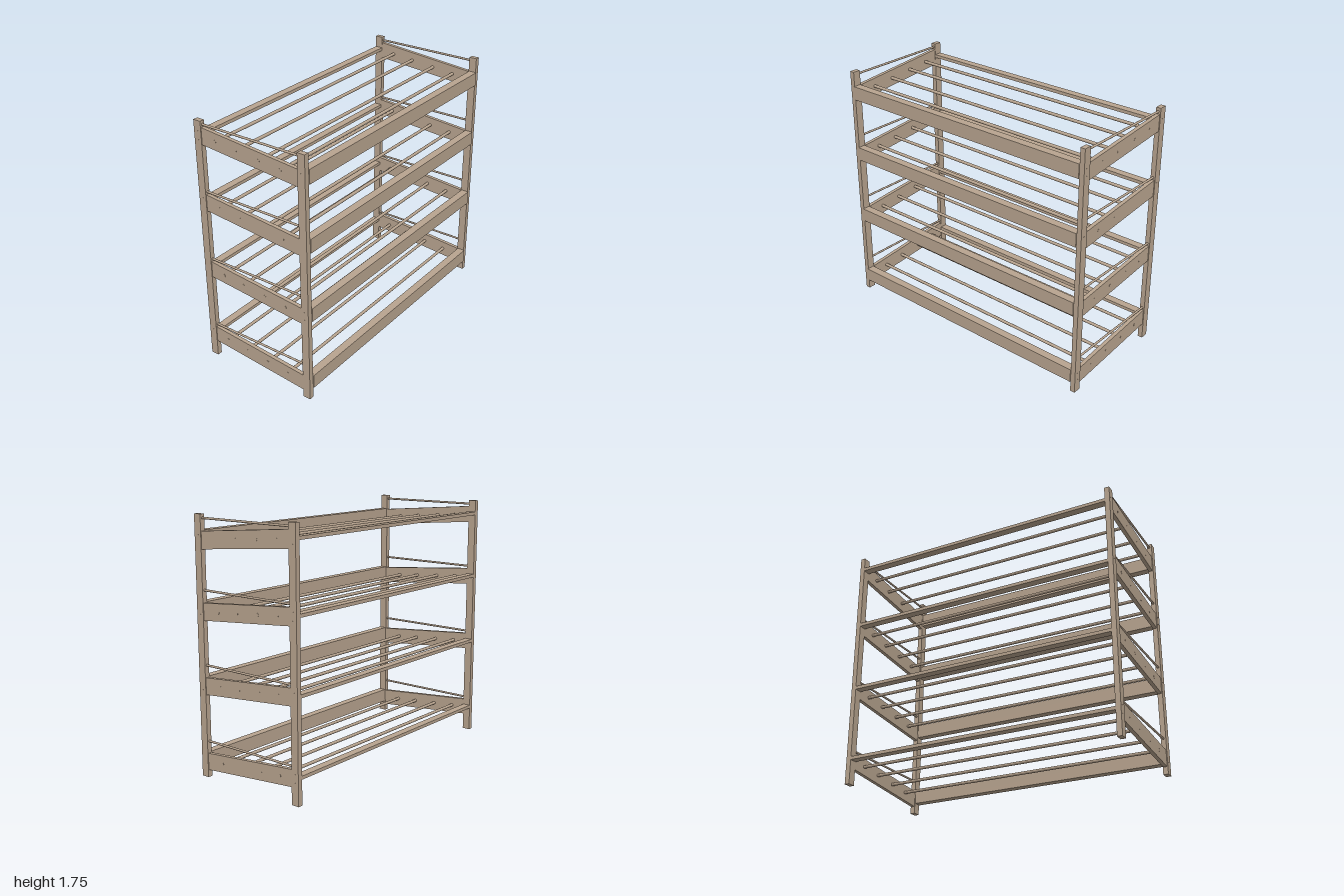
import * as THREE from 'three';

export function createModel() {
  const root = new THREE.Group();
  root.name = 'slattedShelfRack';
  const wood = new THREE.MeshStandardMaterial({ color: 0xb8a48f });

  function add(parent, name, geometry, x = 0, y = 0, z = 0) {
    const m = new THREE.Mesh(geometry, wood);
    m.name = name;
    m.position.set(x, y, z);
    parent.add(m);
    return m;
  }
  // box given by its extents
  function box(parent, name, x0, x1, y0, y1, z0, z1) {
    return add(parent, name, new THREE.BoxGeometry(x1 - x0, y1 - y0, z1 - z0),
      (x0 + x1) / 2, (y0 + y1) / 2, (z0 + z1) / 2);
  }
  // round bar along x or z
  function rod(parent, name, axis, radius, length, x, y, z) {
    const g = new THREE.CylinderGeometry(radius, radius, length, 16);
    if (axis === 'x') g.rotateZ(Math.PI / 2);
    else g.rotateX(Math.PI / 2);
    return add(parent, name, g, x, y, z);
  }

  const xL = -0.381, xR = 0.371; // inner faces of the posts
  const zIn = 0.965;

  // four corner posts
  for (const s of [-1, 1]) {
    const z0 = s > 0 ? zIn : -1, z1 = s > 0 ? 1 : -zIn;
    box(root, 'leftPost', -0.437, xL, 0, 1.755, z0, z1);
    box(root, 'rightPost', xR, 0.427, 0, 1.755, z0, z1);
  }

  // sloping end board, relative to the level height
  const slope = new THREE.Shape([
    new THREE.Vector2(xL, 0.041), new THREE.Vector2(xR, -0.024),
    new THREE.Vector2(xR, 0.092), new THREE.Vector2(xL, 0.157),
  ]);
  const endBoard = new THREE.ExtrudeGeometry(slope, { depth: 0.027, bevelEnabled: false });
  const midHeight = (x) => 0.099 - 0.065 * (x - xL) / (xR - xL);

  for (const y of [0.075, 0.595, 1.092, 1.555]) {
    const shelf = new THREE.Group();
    shelf.name = 'shelf';
    shelf.position.y = y;
    root.add(shelf);

    // tall rail on the low side, flat rail on the high side
    box(shelf, 'tallRail', 0.376, 0.433, 0, 0.097, -zIn, zIn);
    box(shelf, 'flatRail', -0.437, xL, 0.095, 0.118, -zIn, zIn);

    // end boards and the thin tie bars above them
    add(shelf, 'frontEndBoard', endBoard, 0, 0, 0.968);
    add(shelf, 'backEndBoard', endBoard, 0, 0, -0.995);
    for (const s of [-1, 1])
      rod(shelf, 'tieBar', 'x', 0.0075, xR - xL, (xL + xR) / 2, 0.174, s * 0.982);

    // long rods whose ends show through the end boards
    for (const x of [-0.275, -0.11, 0.07, 0.237])
      rod(shelf, 'longRod', 'z', 0.011, 1.992, x, midHeight(x), 0);

    // dowel ends on the posts
    for (const s of [-1, 1])
      for (const dy of [-0.028, 0.028]) {
        rod(shelf, 'dowelEnd', 'z', 0.006, 0.01, -0.409, 0.099 + dy, s * 0.9955);
        rod(shelf, 'dowelEnd', 'z', 0.006, 0.01, 0.399, 0.04 + dy, s * 0.9955);
      }
  }
  return root;
}
